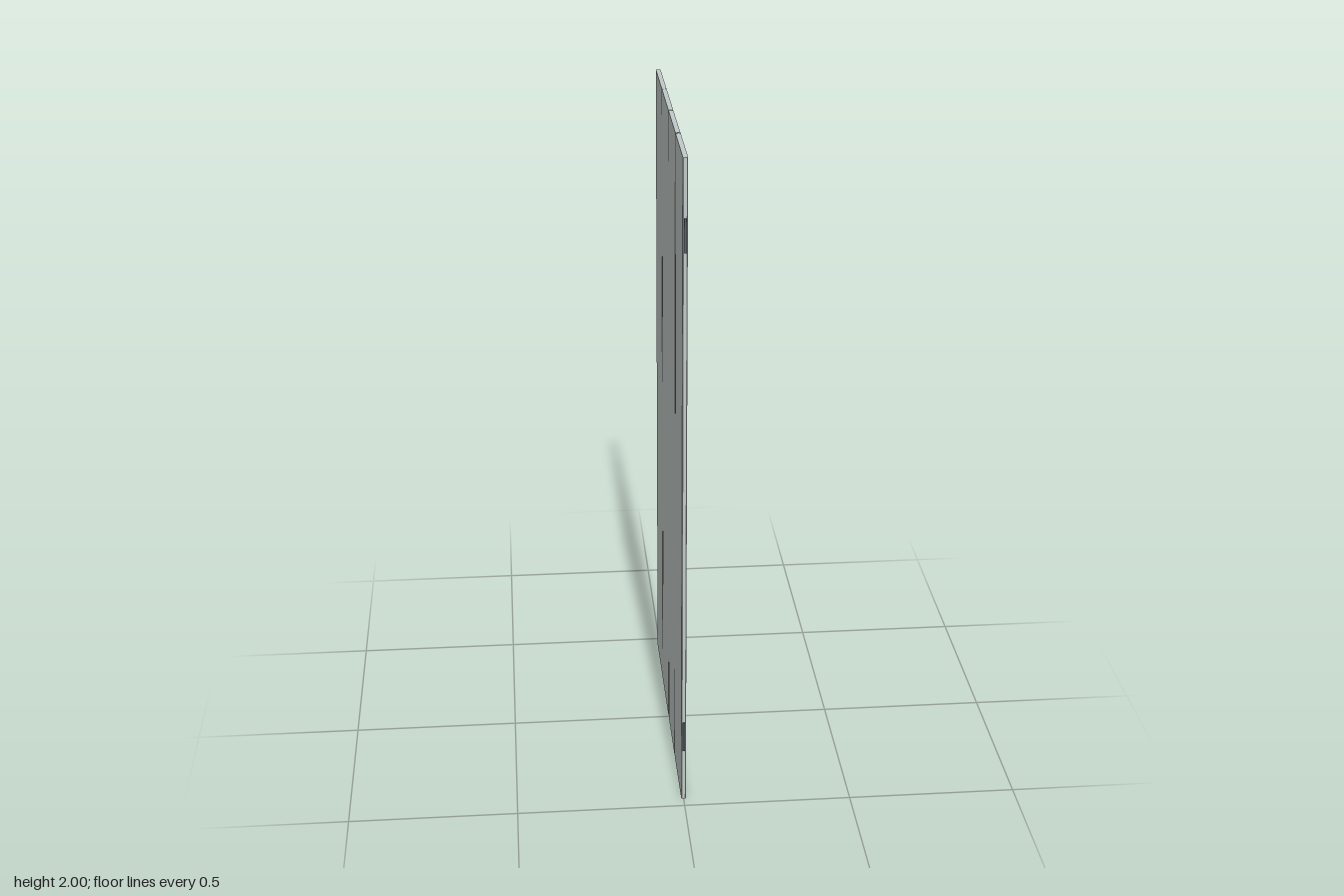
import * as THREE from 'three';

const PANELS = 4, PITCH = 0.233, WIDTH = 0.228, THICK = 0.014, HEIGHT = 2;

// Upright board with slightly chamfered long edges
function panelGeometry() {
  const x = THICK / 2, z = WIDTH / 2, c = 0.002;
  const section = new THREE.Shape([
    [-x + c, -z], [x - c, -z], [x, -z + c], [x, z - c],
    [x - c, z], [-x + c, z], [-x, z - c], [-x, -z + c],
  ].map(([a, b]) => new THREE.Vector2(a, b)));
  const g = new THREE.ExtrudeGeometry(section, { depth: HEIGHT, bevelEnabled: false });
  return g.rotateX(-Math.PI / 2);
}

export function createModel() {
  const screen = new THREE.Group();
  screen.name = 'foldingScreen';
  const panelMat = new THREE.MeshStandardMaterial({ color: 0xc0cac8 });
  const hingeMat = new THREE.MeshStandardMaterial({ color: 0x5a626c });

  // Four boards side by side
  const panelGeo = panelGeometry();
  for (let i = 0; i < PANELS; i++) {
    const panel = new THREE.Mesh(panelGeo, panelMat);
    panel.name = 'panel' + (i + 1);
    panel.position.z = (i - (PANELS - 1) / 2) * PITCH;
    screen.add(panel);
  }

  // Upper and lower hinge pins at every joint and at both outer edges
  const hingeGeo = new THREE.CylinderGeometry(0.0035, 0.0035, 0.096, 12);
  for (let i = 0; i <= PANELS; i++) {
    for (const y of [0.22, 1.785]) {
      const hinge = new THREE.Mesh(hingeGeo, hingeMat);
      hinge.name = 'hinge';
      hinge.position.set(0, y, (i - PANELS / 2) * PITCH);
      screen.add(hinge);
    }
  }
  return screen;
}
